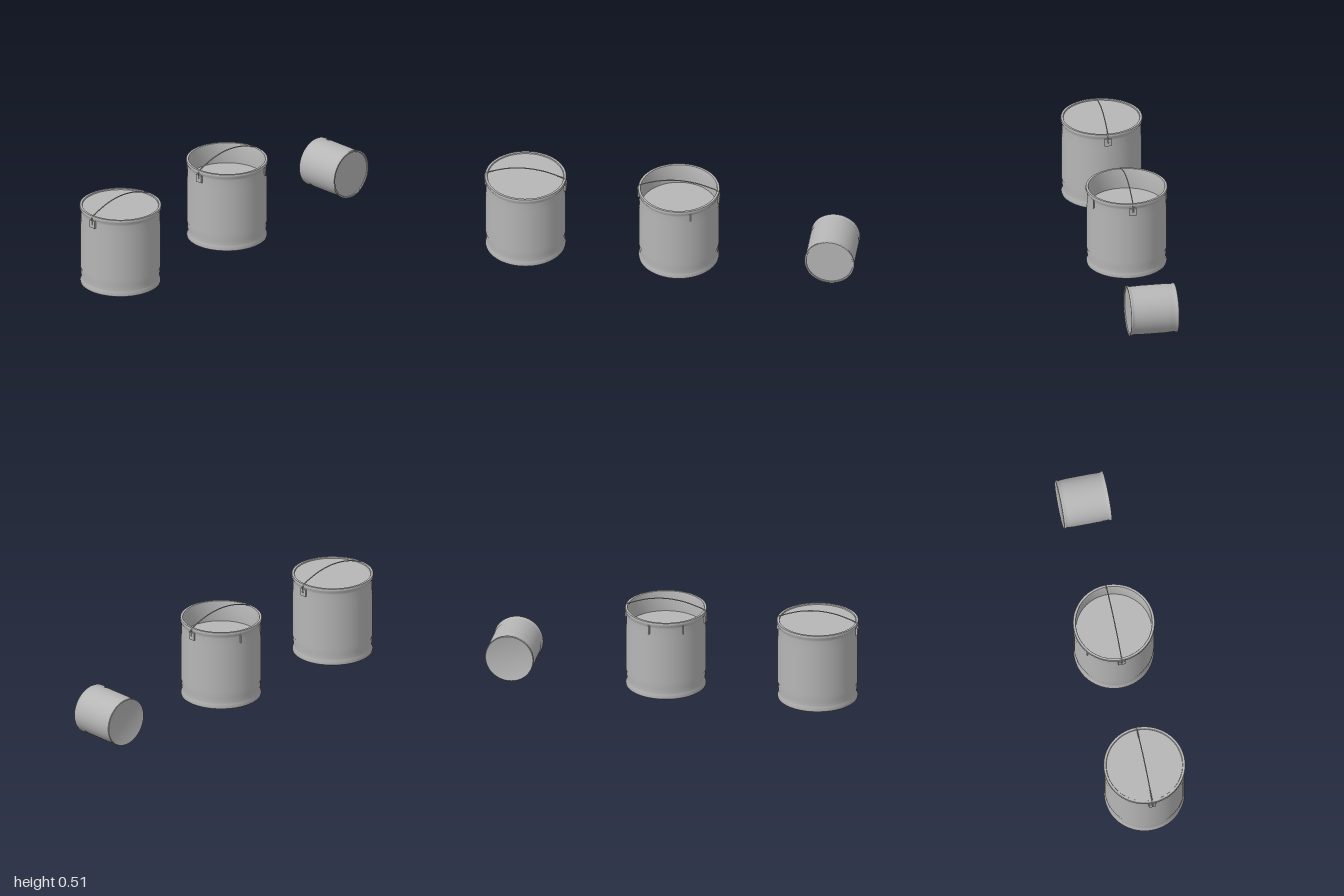
import * as THREE from 'three';
import { toCreasedNormals } from 'three/addons/utils/BufferGeometryUtils.js';

const metal = new THREE.MeshStandardMaterial({ color: 0xb6b6b6 });
metal.name = 'bare metal grey';

const RIM_Y = 0.455;

function part(name, geometry, parent) {
  const mesh = new THREE.Mesh(geometry, metal);
  mesh.name = name;
  parent.add(mesh);
  return mesh;
}

function lathe(points, crease = 0.7) {
  const g = new THREE.LatheGeometry(points.map(([r, y]) => new THREE.Vector2(r, y)), 64);
  return toCreasedNormals(g.toNonIndexed(), crease);
}

// Shell with flared foot, rolled rim and inner wall; the fill closes it at fillY
function makeCan(name, fillName, fillY) {
  const can = new THREE.Group();
  can.name = name;
  part('shell', lathe([
    [0, 0.012], [0.2, 0.012], [0.208, 0.009], [0.213, 0.013], [0.214, 0.02],
    [0.209, 0.036], [0.208, 0.045], [0.21, 0.07], [0.211, 0.1],
    [0.211, 0.364], [0.21, 0.42], [0.211, 0.43], [0.217, 0.44], [0.218, 0.448],
    [0.216, RIM_Y], [0.204, RIM_Y], [0.202, 0.45], [0.202, fillY],
  ]), can);
  part('wrapper', new THREE.CylinderGeometry(0.2128, 0.2128, 0.264, 64, 1, true), can).position.y = 0.232;
  const fill = part(fillName, new THREE.CircleGeometry(0.203, 64), can);
  fill.rotation.x = -Math.PI / 2;
  fill.position.y = fillY;
  return can;
}

// Wire bail hooked into a square ear on each side
function addHandle(can) {
  const right = [[0.03, 0.503], [0.1, 0.493], [0.16, 0.475], [0.205, 0.457], [0.219, 0.443], [0.219, 0.41]];
  const left = right.map(([x, y]) => [-x, y]).reverse();
  const path = [...left, ...right].map(([x, y]) => new THREE.Vector3(x, y, 0));
  part('handle', new THREE.TubeGeometry(new THREE.CatmullRomCurve3(path), 64, 0.003, 8), can);
  for (const side of [-1, 1]) {
    part('ear', new THREE.BoxGeometry(0.01, 0.041, 0.038), can).position.set(side * 0.2135, 0.408, 0);
    part('pivot', new THREE.SphereGeometry(0.0045, 12, 8), can).position.set(side * 0.2175, 0.41, 0);
  }
}

// Thin drips hanging below the rim, at angles measured from +x towards +z
function addDrips(can) {
  for (const degrees of [65, 233, 284]) {
    const a = THREE.MathUtils.degToRad(degrees);
    const drip = part('drip', new THREE.CapsuleGeometry(0.0045, 0.05, 4, 10), can);
    drip.position.set(Math.cos(a) * 0.2115, 0.412, Math.sin(a) * 0.2115);
  }
}

export function createModel() {
  const model = new THREE.Group();
  model.name = 'paint cans';

  const closedCan = makeCan('closedCan', 'lid', 0.449);
  closedCan.position.x = -0.778;
  addHandle(closedCan);

  const openCan = makeCan('openCan', 'paintSurface', 0.34);
  openCan.position.x = 0.043;
  addHandle(openCan);
  addDrips(openCan);

  // Small can lying on its side, lid to the front
  const smallCan = new THREE.Group();
  smallCan.name = 'smallCan';
  const body = makeCan('smallCanBody', 'lid', 0.445);
  body.position.y = -0.232 * 0.58;
  body.scale.set(0.615, 0.58, 0.615);
  smallCan.add(body);
  smallCan.rotation.x = Math.PI / 2;
  smallCan.position.set(0.866, 0.136, 0);
  // wrapper spans less of the small can
  body.getObjectByName('wrapper').scale.y = 1.01;

  model.add(closedCan, openCan, smallCan);
  return model;
}
